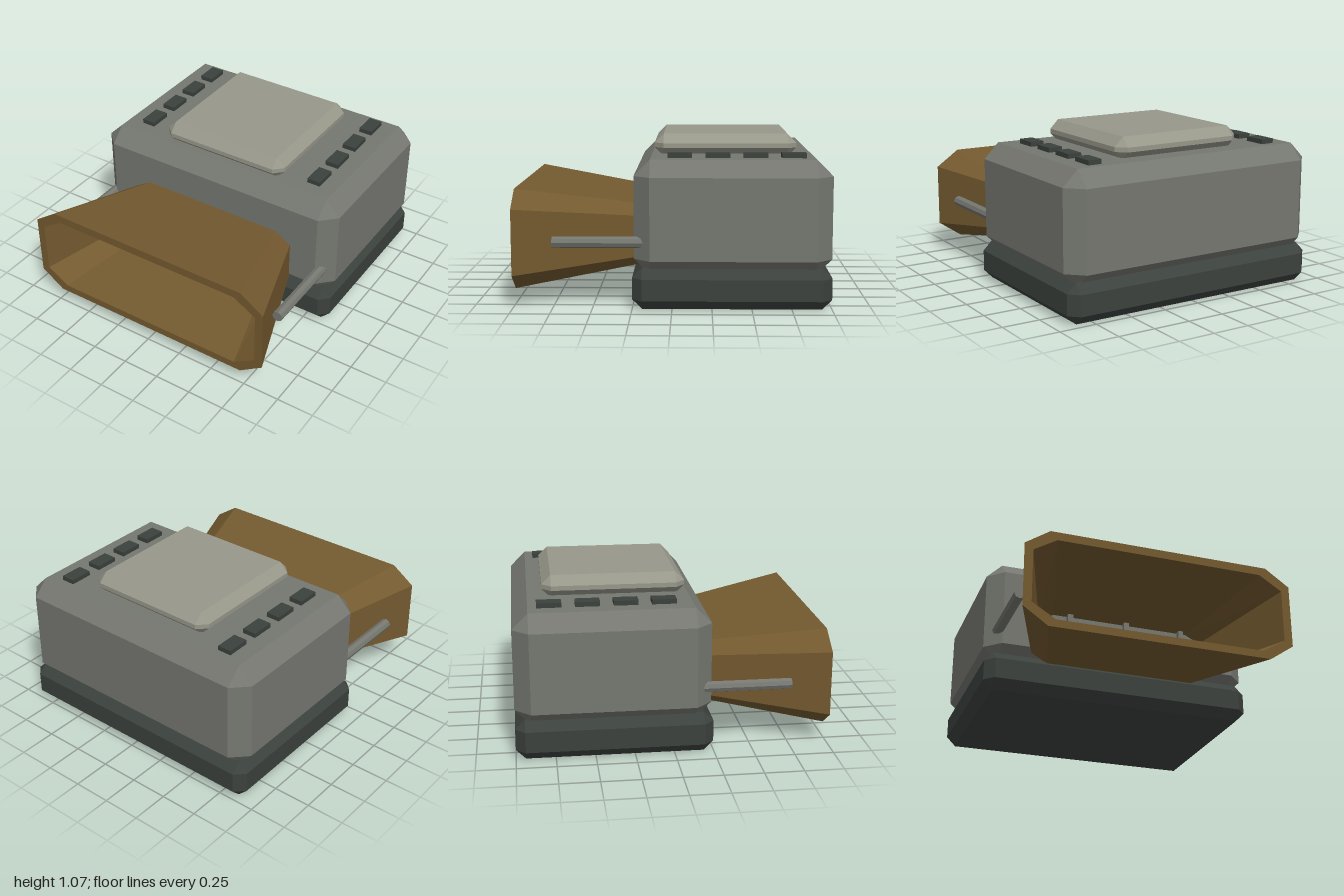
import * as THREE from 'three';
import { ConvexGeometry } from 'three/addons/geometries/ConvexGeometry.js';

const paint = (color) => new THREE.MeshStandardMaterial({ color, flatShading: true });

// Box with every edge cut at 45 degrees, given its extents and the cut width
function chamferBox([x0, x1], [y0, y1], [z0, z1], c) {
  const points = [];
  for (const [x, sx] of [[x0, 1], [x1, -1]])
    for (const [y, sy] of [[y0, 1], [y1, -1]])
      for (const [z, sz] of [[z0, 1], [z1, -1]])
        points.push(
          new THREE.Vector3(x, y + sy * c, z + sz * c),
          new THREE.Vector3(x + sx * c, y, z + sz * c),
          new THREE.Vector3(x + sx * c, y + sy * c, z));
  return new ConvexGeometry(points);
}

// Rectangle with cut corners, counter-clockwise seen from +z
function octagon(w, y0, y1, cx, cy, z) {
  return [
    [w, y0 + cy, z], [w, y1 - cy, z], [w - cx, y1, z], [cx - w, y1, z],
    [-w, y1 - cy, z], [-w, y0 + cy, z], [cx - w, y0, z], [w - cx, y0, z],
  ];
}

// Skin a closed chain of rings with quads
function loftLoop(rings) {
  const pos = [];
  rings.forEach((ring, r) => {
    const next = rings[(r + 1) % rings.length];
    for (let i = 0; i < ring.length; i++) {
      const j = (i + 1) % ring.length;
      pos.push(...ring[i], ...ring[j], ...next[j], ...ring[i], ...next[j], ...next[i]);
    }
  });
  const geo = new THREE.BufferGeometry();
  geo.setAttribute('position', new THREE.Float32BufferAttribute(pos, 3));
  geo.computeVertexNormals();
  return geo;
}

export function createModel() {
  const group = new THREE.Group();
  const grey = paint(0x757770);
  const dark = paint(0x3b413d);
  const pale = paint(0x97978a);
  const brown = paint(0x73592f);

  const add = (name, geometry, material, x = 0, y = 0, z = 0) => {
    const mesh = new THREE.Mesh(geometry, material);
    mesh.name = name;
    mesh.position.set(x, y, z);
    group.add(mesh);
    return mesh;
  };

  // Stacked housing
  add('base', chamferBox([-0.915, 0.915], [0, 0.26], [-1, 0.25], 0.062), dark);
  add('body', chamferBox([-0.915, 0.915], [0.21, 0.935], [-1, 0.24], 0.102), grey);
  add('topPanel', chamferBox([-0.46, 0.46], [0.915, 1.065], [-0.803, 0.123], 0.06), pale);

  // Flared hollow hood
  add('hood', loftLoop([
    octagon(0.61, 0.22, 0.62, 0.11, 0.068, 0.21),
    octagon(0.88, 0.10, 0.74, 0.16, 0.11, 1),
    octagon(0.825, 0.15, 0.685, 0.15, 0.093, 1),
    octagon(0.565, 0.27, 0.565, 0.1, 0.05, 0.21),
  ]), brown);

  // Upright posts inside the hood
  const post = new THREE.BoxGeometry(0.035, 0.225, 0.035);
  for (const x of [-0.39, 0, 0.39]) add('hoodPost', post, grey, x, 0.418, 0.345);

  // Side rods and rows of raised vents
  const rod = new THREE.CylinderGeometry(0.036, 0.036, 0.65, 8).rotateX(Math.PI / 2);
  const vent = new THREE.BoxGeometry(0.093, 0.05, 0.155);
  for (const side of [-1, 1]) {
    add('sideRod', rod, grey, side * 0.835, 0.42, 0.425);
    for (let i = 0; i < 4; i++) add('vent', vent, dark, side * 0.66, 0.94, -0.045 - i * 0.24);
  }
  return group;
}
